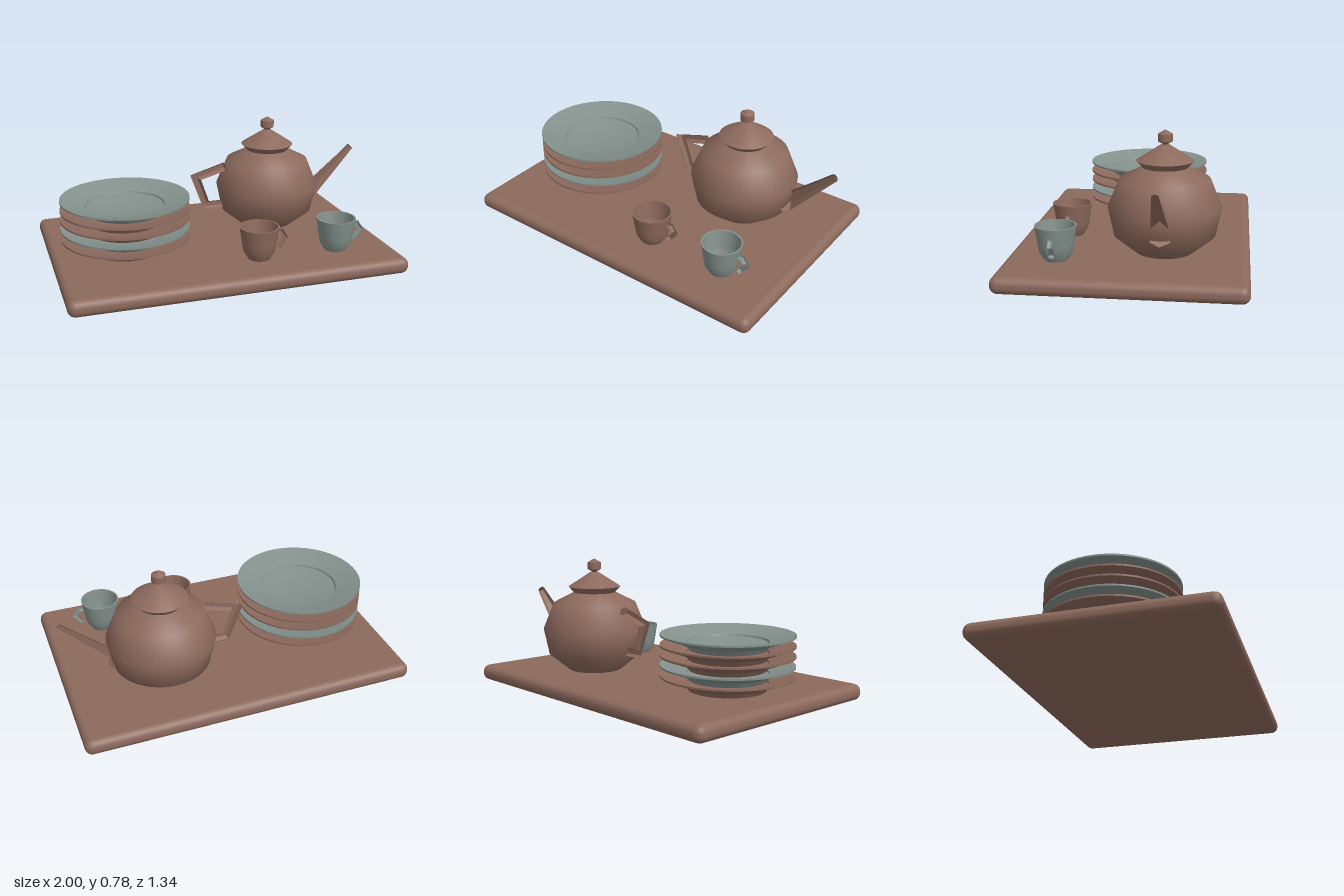
import * as THREE from 'three';
import { toCreasedNormals } from 'three/addons/utils/BufferGeometryUtils.js';
import { RoundedBoxGeometry } from 'three/addons/geometries/RoundedBoxGeometry.js';

const clay = new THREE.MeshStandardMaterial({ color: 0x8d6a5d });
clay.name = 'brown clay';
const glaze = new THREE.MeshStandardMaterial({ color: 0x84918c });
glaze.name = 'grey glaze';

function mesh(name, geometry, material, x = 0, y = 0, z = 0) {
  const m = new THREE.Mesh(geometry, material);
  m.name = name;
  m.position.set(x, y, z);
  return m;
}

// Turned shape from a [radius, height] profile, keeping sharp corners
function turned(profile, segments, crease) {
  const points = profile.map(([r, y]) => new THREE.Vector2(r, y));
  return toCreasedNormals(new THREE.LatheGeometry(points, segments), crease);
}

// Mitred tube along a path in the xy plane; stations are [x, y, half depth, half width]
function loft(stations, sides, crease = 0.8) {
  const pos = [], index = [], n = stations.length;
  const normalAt = (i) => {
    const a = stations[i], b = stations[i + 1];
    return new THREE.Vector2(-(b[1] - a[1]), b[0] - a[0]).normalize();
  };
  stations.forEach(([x, y, depth, width], i) => {
    const before = normalAt(Math.max(i - 1, 0));
    const after = normalAt(Math.min(i, n - 2));
    const m = before.clone().add(after).normalize();
    m.multiplyScalar(depth / m.dot(before));
    for (let j = 0; j < sides; j++) {
      const t = (j / sides) * Math.PI * 2;
      pos.push(x + m.x * Math.cos(t), y + m.y * Math.cos(t), width * Math.sin(t));
    }
  });
  for (let i = 0; i < n - 1; i++) {
    for (let j = 0; j < sides; j++) {
      const a = i * sides + j, b = i * sides + (j + 1) % sides;
      index.push(a, a + sides, b, b, a + sides, b + sides);
    }
  }
  // End caps
  const last = (n - 1) * sides;
  for (let j = 1; j < sides - 1; j++) {
    index.push(0, j, j + 1, last, last + j + 1, last + j);
  }
  const g = new THREE.BufferGeometry();
  g.setAttribute('position', new THREE.Float32BufferAttribute(pos, 3));
  g.setIndex(index);
  return toCreasedNormals(g, crease);
}

function makeTeapot() {
  const pot = new THREE.Group();
  pot.name = 'teapot';
  pot.add(mesh('teapotBody', turned([
    [0, 0], [0.162, 0], [0.285, 0.1], [0.318, 0.257], [0.253, 0.417], [0.127, 0.481],
  ], 48, 0.85), clay));
  pot.add(mesh('teapotLid', turned([
    [0.127, 0.481], [0.16, 0.517], [0.025, 0.605], [0, 0.607],
  ], 48, 0.85), clay));
  pot.add(mesh('lidKnob', turned([
    [0, 0.6], [0.041, 0.624], [0.041, 0.665], [0, 0.689],
  ], 16, 0.7), clay));
  pot.add(mesh('spout', loft([
    [0.28, 0.155, 0.055, 0.061], [0.5, 0.37, 0.031, 0.032], [0.58, 0.45, 0.023, 0.021],
  ], 6), clay));
  pot.add(mesh('teapotHandle', loft([
    [-0.28, 0.388, 0.029, 0.03], [-0.468, 0.332, 0.027, 0.03],
    [-0.4, 0.145, 0.025, 0.028], [-0.24, 0.145, 0.025, 0.028],
  ], 6), clay));
  pot.position.set(0.4, 0.095, -0.19);
  return pot;
}

function makeCup(name, material, x) {
  const cup = new THREE.Group();
  cup.name = name;
  cup.add(mesh('cupBowl', turned([
    [0, 0], [0.065, 0], [0.092, 0.045], [0.1, 0.09], [0.116, 0.194],
    [0.106, 0.194], [0.09, 0.09], [0.083, 0.045], [0.055, 0.012], [0, 0.012],
  ], 32, 0.6), material));
  cup.add(mesh('cupHandle', loft([
    [0.095, 0.148, 0.015, 0.017], [0.135, 0.146, 0.015, 0.017],
    [0.16, 0.105, 0.015, 0.017], [0.118, 0.05, 0.013, 0.017],
  ], 6), material));
  // Drink surface inside the cup
  const drink = mesh('drink', new THREE.CircleGeometry(0.085, 32), clay, 0, 0.05, 0);
  drink.rotation.x = -Math.PI / 2;
  cup.add(drink);
  cup.position.set(x, 0.095, 0.383);
  return cup;
}

export function createModel() {
  const model = new THREE.Group();
  model.name = 'teaSet';

  model.add(mesh('tray', new RoundedBoxGeometry(1.975, 0.096, 1.34, 4, 0.044), clay, -0.0125, 0.048, 0));

  // Stack of plates, bottom to top
  const plate = turned([
    [0, 0], [0.22, 0], [0.238, 0.026], [0.38, 0.076], [0.38, 0.086],
    [0.232, 0.045], [0.228, 0.034], [0.12, 0.017], [0, 0.011],
  ], 64, 0.6);
  [clay, glaze, clay, clay, glaze].forEach((material, i) => {
    model.add(mesh('plate' + (i + 1), plate, material, -0.555, 0.095 + i * 0.0577, -0.003));
  });

  model.add(makeTeapot());
  model.add(makeCup('brownCup', clay, 0.145));
  model.add(makeCup('greyCup', glaze, 0.625));
  return model;
}
